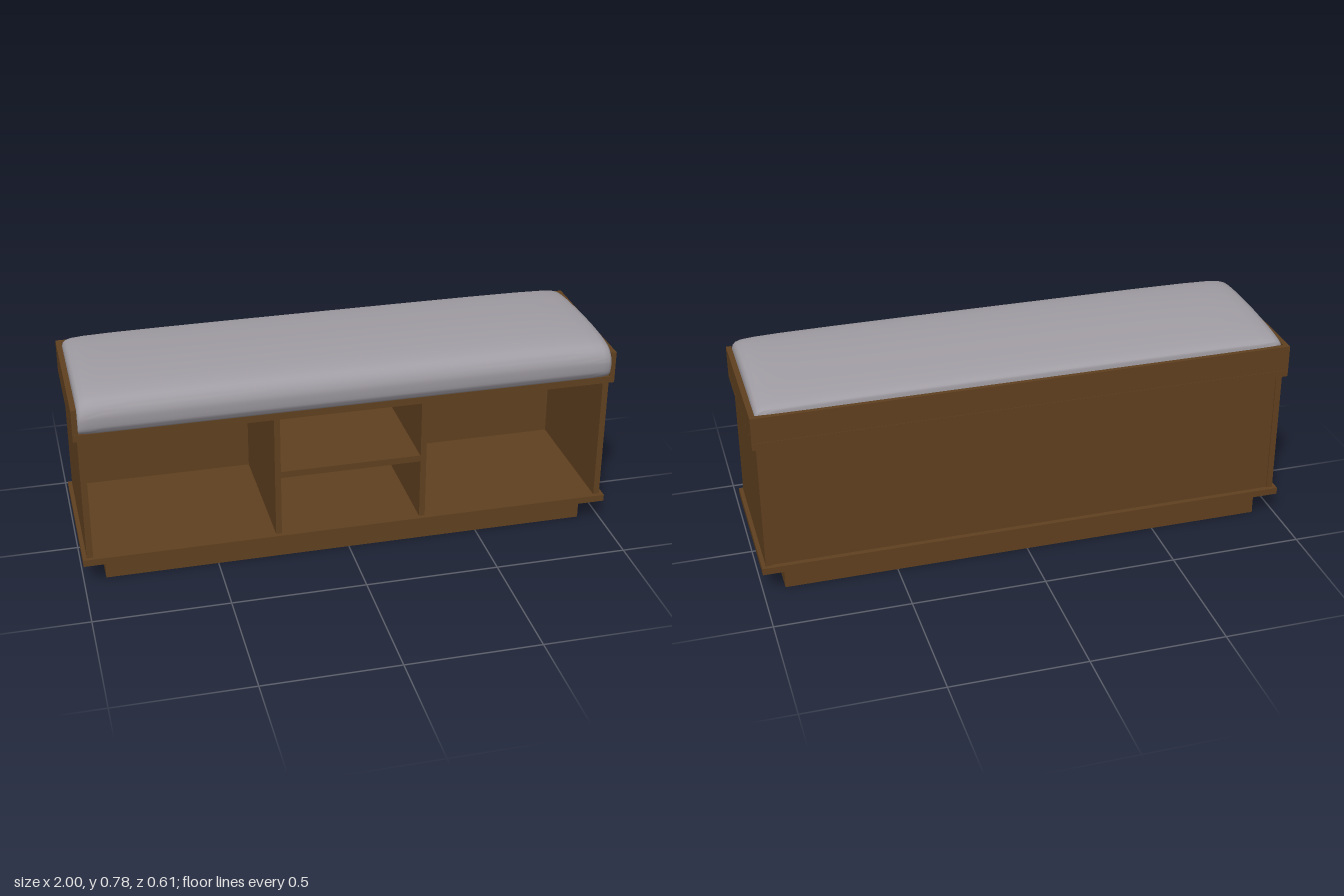
import * as THREE from 'three';
import { toCreasedNormals } from 'three/addons/utils/BufferGeometryUtils.js';

export function createModel() {
  const group = new THREE.Group();
  group.name = 'storageBench';
  const wood = new THREE.MeshStandardMaterial({ color: 0x60401f });
  wood.name = 'brown wood';
  const fabric = new THREE.MeshStandardMaterial({ color: 0xa19da4 });
  fabric.name = 'grey fabric';

  // Board given by its extents along each axis
  const board = (name, [x0, x1], [y0, y1], [z0, z1]) => {
    const mesh = new THREE.Mesh(new THREE.BoxGeometry(x1 - x0, y1 - y0, z1 - z0), wood);
    mesh.position.set((x0 + x1) / 2, (y0 + y1) / 2, (z0 + z1) / 2);
    mesh.name = name;
    group.add(mesh);
  };

  // Plinth, bottom and seat boards
  board('plinth', [-0.918, 0.918], [0, 0.09], [-0.27, 0.23]);
  board('bottomBoard', [-1, 1], [0.09, 0.116], [-0.305, 0.28]);
  board('seatBoard', [-1, 1], [0.602, 0.628], [-0.305, 0.28]);

  // Carcass, with rails standing on a hairline joint above the seat board
  for (const [side, s] of [['left', 1], ['right', -1]]) {
    const span = (a, b) => (s > 0 ? [a, b] : [-b, -a]);
    board(side + 'Panel', span(0.962, 0.985), [0.116, 0.602], [-0.29, 0.265]);
    board(side + 'Divider', span(0.264, 0.286), [0.116, 0.602], [-0.275, 0.262]);
    board(side + 'Rail', span(0.98, 1), [0.629, 0.725], [-0.305, 0.28]);
  }
  board('backPanel', [-0.962, 0.962], [0.116, 0.602], [-0.285, -0.275]);
  board('middleShelf', [-0.264, 0.264], [0.349, 0.374], [-0.275, 0.258]);
  board('backRail', [-0.98, 0.98], [0.629, 0.725], [-0.305, -0.285]);

  // Cushion: smooth side profile (z, y) swept along x and softened at both ends
  const base = 0.629;
  const profile = new THREE.SplineCurve([
    [-0.282, base], [-0.288, 0.68], [-0.288, 0.738], [-0.279, 0.75], [-0.25, 0.759],
    [-0.18, 0.769], [-0.09, 0.776], [0, 0.781], [0.1, 0.782], [0.19, 0.778], [0.245, 0.77],
    [0.275, 0.759], [0.294, 0.74], [0.304, 0.715], [0.305, 0.69], [0.298, 0.65], [0.28, base],
  ].map(([z, y]) => new THREE.Vector2(z, y))).getPoints(48);
  // Half stations: x, height scale, depth scale
  const half = [
    [0.975, 0, 0], [0.979, 0.5, 0.85], [0.979, 0.72, 0.945], [0.976, 0.82, 0.965],
    [0.966, 0.89, 0.982], [0.945, 0.935, 0.992], [0.9, 0.962, 0.997], [0.8, 0.982, 1],
    [0.6, 0.995, 1], [0.3, 1, 1],
  ];
  const stations = [...half.map(([x, h, d]) => [-x, h, d]), ...half.slice().reverse()];
  const n = profile.length;
  const positions = [];
  const index = [];
  for (const [x, h, d] of stations) {
    for (const p of profile) positions.push(x, base + (p.y - base) * h, 0.008 + (p.x - 0.008) * d);
  }
  for (let i = 0; i < stations.length - 1; i++) {
    for (let j = 0; j < n; j++) {
      const a = i * n + j, b = i * n + ((j + 1) % n);
      index.push(a, b, a + n, b, b + n, a + n);
    }
  }
  const geometry = new THREE.BufferGeometry();
  geometry.setAttribute('position', new THREE.Float32BufferAttribute(positions, 3));
  geometry.setIndex(index);
  const cushion = new THREE.Mesh(toCreasedNormals(geometry, 0.9), fabric);
  cushion.name = 'seatCushion';
  group.add(cushion);

  return group;
}
